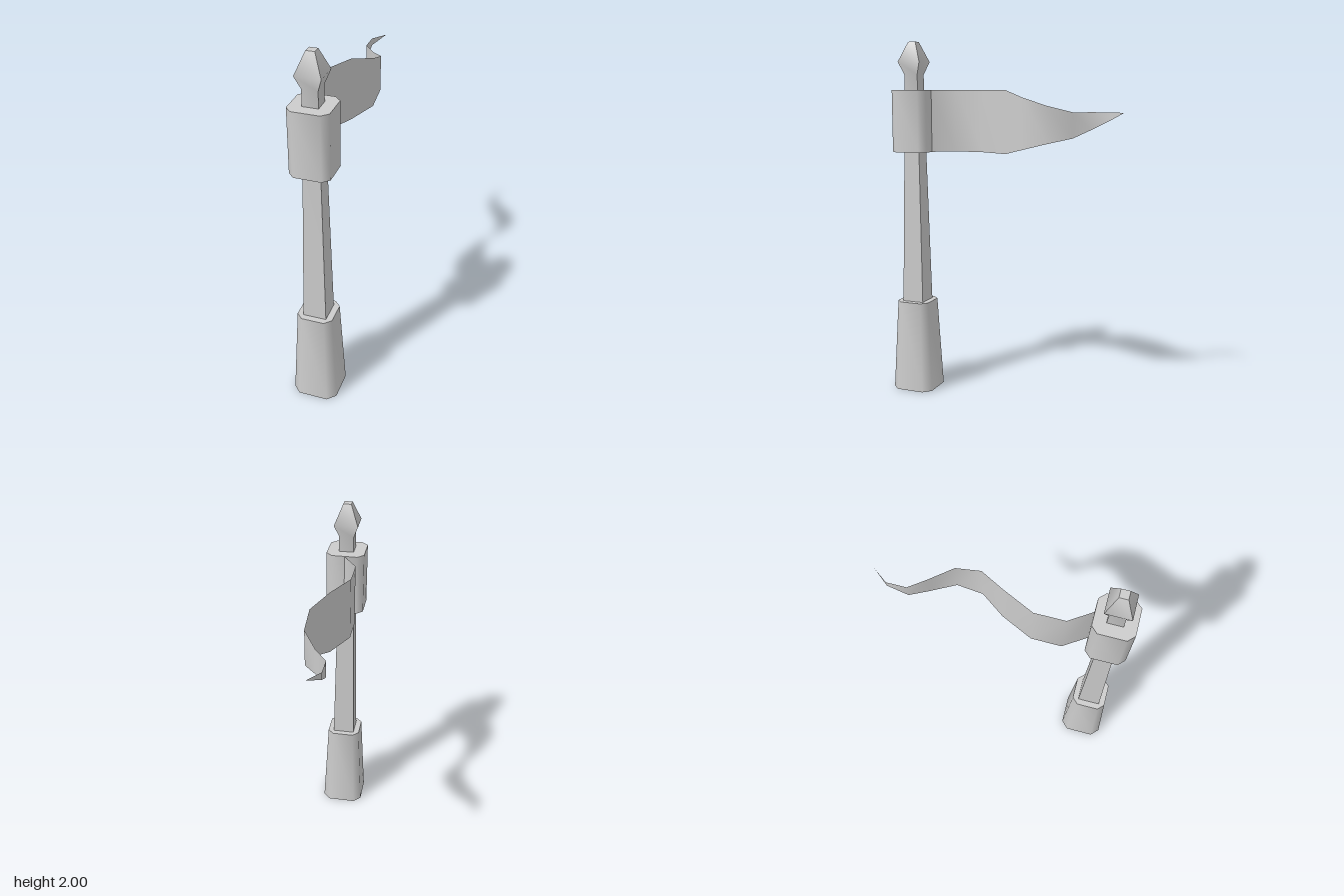
import * as THREE from 'three';
import { toCreasedNormals } from 'three/addons/utils/BufferGeometryUtils.js';

const POLE_Z = 0.541;

// Square cross-section, or a square with cut corners when flat (half length of a side) is given
function section(half, flat) {
  const corners = [[1, 1], [1, -1], [-1, -1], [-1, 1]];
  if (flat === undefined) return corners.map(([x, z]) => [x * half, z * half]);
  return corners.flatMap(([x, z]) => {
    const a = [x * flat, z * half], b = [x * half, z * flat];
    return x * z > 0 ? [a, b] : [b, a];
  });
}

// Closed solid through a stack of [y, half, flat] sections, from the bottom up
function loft(rings) {
  const position = [], index = [];
  const n = section(rings[0][1], rings[0][2]).length;
  for (const [y, half, flat] of rings) {
    for (const [x, z] of section(half, flat)) position.push(x, y, z);
  }
  for (let r = 0; r < rings.length - 1; r++) {
    for (let i = 0; i < n; i++) {
      const a = r * n + i, b = r * n + (i + 1) % n;
      index.push(a, b, a + n, b, b + n, a + n);
    }
  }
  const top = (rings.length - 1) * n;
  for (let i = 1; i < n - 1; i++) {
    index.push(0, i + 1, i, top, top + i, top + i + 1);
  }
  const geometry = new THREE.BufferGeometry();
  geometry.setAttribute('position', new THREE.Float32BufferAttribute(position, 3));
  geometry.setIndex(index);
  return toCreasedNormals(geometry, Math.PI / 3);
}

// Strip of cloth through upright edges [x, z, bottom, top]
function cloth(edges) {
  const position = [], index = [];
  edges.forEach(([x, z, bottom, top], i) => {
    position.push(x, bottom, z, x, top, z);
    if (i === 0) return;
    const a = 2 * i - 2;
    index.push(a, a + 2, a + 1);
    if (top > bottom) index.push(a + 1, a + 2, a + 3);
  });
  const geometry = new THREE.BufferGeometry();
  geometry.setAttribute('position', new THREE.Float32BufferAttribute(position, 3));
  geometry.setIndex(index);
  geometry.computeVertexNormals();
  return geometry;
}

export function createModel() {
  const group = new THREE.Group();
  const material = new THREE.MeshStandardMaterial({ color: 0xcccccc });
  const thin = new THREE.MeshStandardMaterial({ color: 0xcccccc, side: THREE.DoubleSide });

  function add(name, geometry, mat = material, z = POLE_Z) {
    const mesh = new THREE.Mesh(geometry, mat);
    mesh.name = name;
    mesh.position.z = z;
    group.add(mesh);
  }

  // Tapered foot with cut corners
  add('base', loft([[0, 0.122, 0.08], [0.522, 0.096, 0.062]]));

  // Slim square pole ending in a spear-shaped finial
  add('poleAndFinial', loft([
    [0.5, 0.063], [1.39, 0.046], [1.82, 0.04], [1.89, 0.066], [2, 0.022],
  ]));

  // Cloth sleeve around the pole
  add('flagSleeve', loft([[1.39, 0.105, 0.071], [1.735, 0.105, 0.071]]));

  // Waving pennant, tapering to a point at the back
  add('pennant', cloth([
    [0, 0.437, 1.39, 1.735],
    [-0.08, 0.32, 1.39, 1.735],
    [-0.08, 0.16, 1.39, 1.735],
    [0, -0.01, 1.39, 1.735],
    [0.08, -0.135, 1.421, 1.697],
    [0.08, -0.27, 1.455, 1.655],
    [0, -0.39, 1.483, 1.62],
    [-0.065, -0.475, 1.527, 1.62],
    [-0.065, -0.58, 1.58, 1.62],
    [-0.005, -0.662, 1.62, 1.62],
  ]), thin, 0);

  return group;
}
